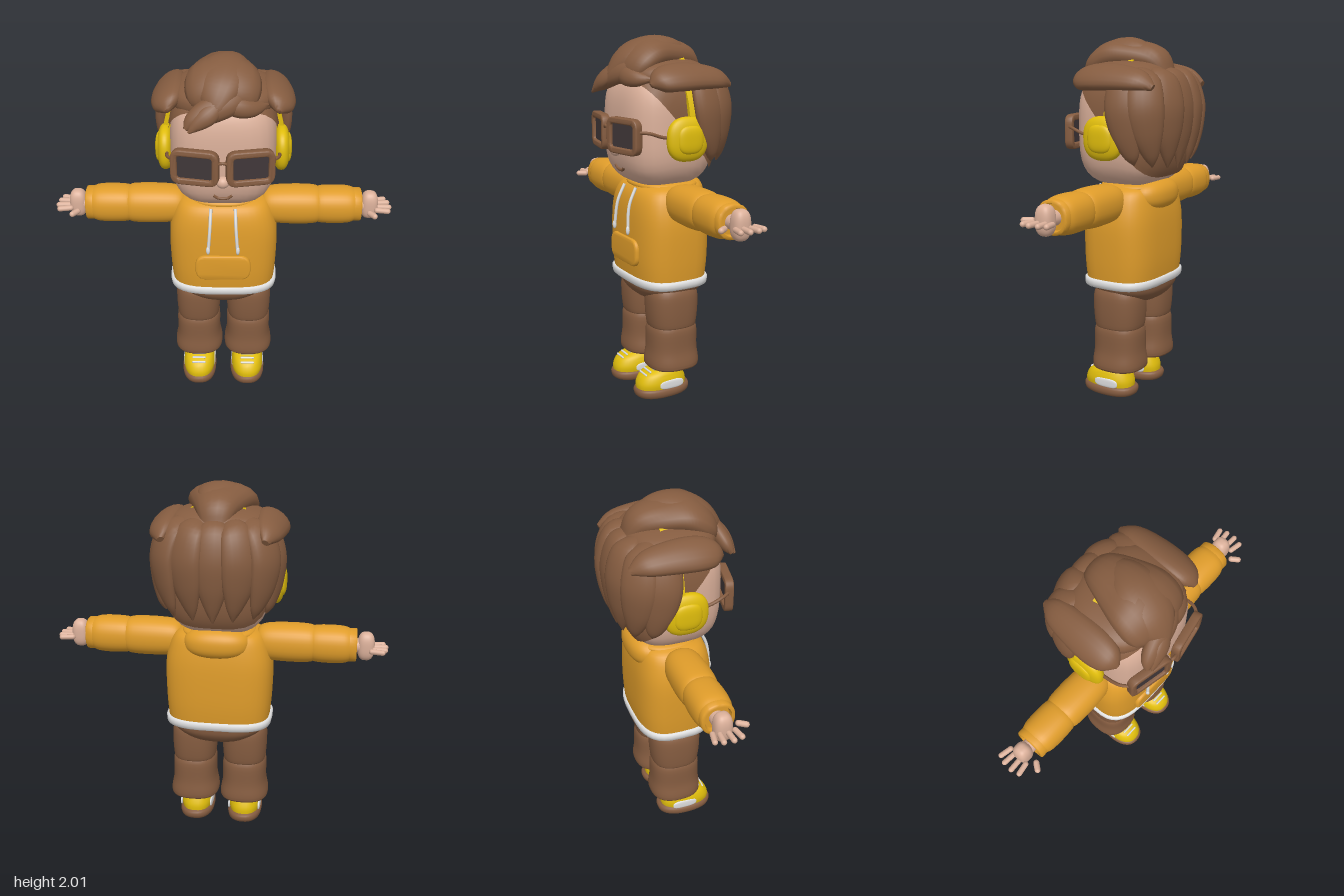
import * as THREE from 'three';
import { mergeVertices, toCreasedNormals } from 'three/addons/utils/BufferGeometryUtils.js';

const V = (x, y, z) => new THREE.Vector3(x, y, z);
const mat = (name, color) => Object.assign(new THREE.MeshStandardMaterial({ color }), { name });

// Rounded-box-like ellipsoid: a sphere pushed out by a p-norm; cap < 1 keeps only part, tilted back
function blob(rx, ry, rz, p = 2, cap = 1, tilt = 0) {
  let g = new THREE.SphereGeometry(1, 40, 28, 0, Math.PI * 2, 0, Math.PI * cap).rotateX(tilt);
  const a = g.attributes.position;
  for (let i = 0; i < a.count; i++) {
    const v = V().fromBufferAttribute(a, i);
    const n = (Math.abs(v.x) ** p + Math.abs(v.y) ** p + Math.abs(v.z) ** p) ** (1 / p);
    a.setXYZ(i, v.x / n * rx, v.y / n * ry, v.z / n * rz);
  }
  g.deleteAttribute('uv');
  g.deleteAttribute('normal');
  g = mergeVertices(g, 1e-5);
  g.computeVertexNormals();
  return g;
}

// Smooth interpolation through rows of numbers
function smooth(rows, sub) {
  const out = [];
  const at = i => rows[Math.max(0, Math.min(rows.length - 1, i))];
  for (let i = 0; i < rows.length - 1; i++) {
    for (let k = 0; k < sub; k++) {
      const t = k / sub;
      out.push(at(i).map((b, c) => {
        const a = at(i - 1)[c], d = at(i + 1)[c], e = at(i + 2)[c];
        return b + 0.5 * t * (d - a + t * (2 * a - 5 * b + 4 * d - e + t * (3 * (b - d) + e - a)));
      }));
    }
  }
  out.push(rows[rows.length - 1]);
  return out;
}

// Skin a list of closed rings, closing both ends
function skin(rings) {
  const n = rings[0].length, pos = [], idx = [];
  rings.forEach(r => r.forEach(v => pos.push(v.x, v.y, v.z)));
  const centre = r => r.reduce((s, v) => s.add(v), V(0, 0, 0)).divideScalar(n);
  const lo = rings.length * n, hi = lo + 1, top = lo - n;
  for (const r of [rings[0], rings[rings.length - 1]]) pos.push(...centre(r).toArray());
  for (let j = 0; j < n; j++) {
    const k = (j + 1) % n;
    for (let i = 0; i < rings.length - 1; i++) {
      const a = i * n + j, b = i * n + k;
      idx.push(a, a + n, b, b, a + n, b + n);
    }
    idx.push(lo, j, k, hi, top + k, top + j);
  }
  const g = new THREE.BufferGeometry();
  g.setAttribute('position', new THREE.Float32BufferAttribute(pos, 3));
  g.setIndex(idx);
  return toCreasedNormals(g, 0.9);
}

// Stacked superellipse sections: [y, rx, rz, cz]
function loft(rows, p = 2, sub = 4, seg = 36) {
  const sg = (c) => Math.sign(c) * Math.abs(c) ** (2 / p);
  return skin(smooth(rows.map(r => [r[0], r[1], r[2] ?? r[1], r[3] ?? 0]), sub).map(([y, rx, rz, cz]) =>
    Array.from({ length: seg }, (_, j) => {
      const t = j / seg * Math.PI * 2;
      return V(rx * sg(Math.cos(t)), y, cz + rz * sg(Math.sin(t)));
    })));
}

// Hair lock along a path: rows [x, y, z, halfWidth, halfThickness], flat side facing "out"
function lock(rows, out, seg = 18) {
  const s = smooth(rows, 6);
  const P = s.map(r => V(r[0], r[1], r[2]));
  return skin(s.map((r, i) => {
    const T = P[Math.min(i + 1, P.length - 1)].clone().sub(P[Math.max(i - 1, 0)]).normalize();
    const S = T.clone().cross(out).normalize(), N = S.clone().cross(T);
    return Array.from({ length: seg }, (_, j) => {
      const t = j / seg * Math.PI * 2;
      return P[i].clone().addScaledVector(S, r[3] * Math.cos(t)).addScaledVector(N, r[4] * Math.sin(t));
    });
  }));
}

function roundRect(w, h, r, Type = THREE.Shape) {
  const x = w / 2, y = h / 2;
  return new Type().moveTo(-x + r, -y).lineTo(x - r, -y).quadraticCurveTo(x, -y, x, -y + r)
    .lineTo(x, y - r).quadraticCurveTo(x, y, x - r, y).lineTo(-x + r, y)
    .quadraticCurveTo(-x, y, -x, y - r).lineTo(-x, -y + r).quadraticCurveTo(-x, -y, -x + r, -y);
}
const plate = (shape, depth, bevel) => toCreasedNormals(new THREE.ExtrudeGeometry(shape, {
  depth, bevelEnabled: bevel > 0, bevelSize: bevel, bevelThickness: bevel, bevelSegments: 4, curveSegments: 8 }), 0.7);
const tube = (pts, r) => new THREE.TubeGeometry(new THREE.CatmullRomCurve3(pts.map(p => V(...p))), 20, r, 8);

export function createModel() {
  const root = new THREE.Group();
  const skinTone = mat('skin', 0xdbb09a), brown = mat('brown', 0x855c40), amber = mat('amber', 0xdf9c2a);
  const yellow = mat('yellow', 0xe0bd0c), white = mat('white', 0xdedede), dark = mat('lens', 0x403739);
  const add = (name, g, m, x = 0, y = 0, z = 0, parent = root) => {
    const o = new THREE.Mesh(g, m);
    o.name = name;
    o.position.set(x, y, z);
    parent.add(o);
    return o;
  };

  // Head and face
  add('head', blob(0.28, 0.32, 0.255, 3.4), skinTone, 0, 1.52, 0.015);
  add('nose', blob(0.035, 0.032, 0.032), skinTone, 0, 1.4, 0.275);
  add('mouth', tube([[-0.05, 1.31, 0.25], [-0.025, 1.292, 0.247], [0.025, 1.292, 0.247], [0.05, 1.31, 0.25]], 0.008), brown);

  // Hair: scalp, crown, back volume
  add('scalp', blob(0.288, 0.328, 0.266, 3.4, 0.5, -0.75), brown, 0, 1.52, 0.012);
  add('crownHair', blob(0.28, 0.1, 0.24, 2.5), brown, 0, 1.79, 0.01);
  add('backHair', blob(0.29, 0.22, 0.19, 2.6), brown, 0, 1.62, -0.12);
  // Locks fanned around the back of the head
  for (let i = -3; i <= 3; i++) {
    const at = (deg, k, y) => {
      const a = deg * Math.PI / 180, s = Math.sin(a), c = Math.cos(a);
      const n = (Math.abs(s) ** 3 + c ** 3) ** (1 / 3);
      return [k * 0.325 * s / n, y, -k * 0.25 * c / n - 0.05];
    };
    const a = i * 25, tip = 1.31 + 0.012 * Math.abs(i);
    add('backLock', lock([
      [...at(a, 0.45, 1.83), 0.04, 0.02], [...at(a, 0.8, 1.79), 0.085, 0.04], [...at(a, 0.97, 1.66), 0.1, 0.045],
      [...at(a * 0.95, 0.97, 1.52), 0.085, 0.04], [...at(a * 0.87, 0.92, 1.4), 0.045, 0.025],
      [...at(a * 0.83, 0.87, tip), 0.004, 0.004]], V(Math.sin(a * Math.PI / 180), 0.15, -Math.cos(a * Math.PI / 180))), brown);
  }
  // Swept-up top and fringe
  add('quiff', lock([[0, 1.82, -0.2, 0.07, 0.03], [0, 1.88, -0.13, 0.11, 0.075], [0, 1.905, 0, 0.16, 0.085],
    [0, 1.9, 0.1, 0.19, 0.095], [0, 1.85, 0.18, 0.19, 0.085], [0, 1.79, 0.22, 0.15, 0.05], [0, 1.76, 0.23, 0.04, 0.01]], V(0, 1, 0.35)), brown);
  add('quiffRidge', lock([[0.02, 1.88, -0.16, 0.03, 0.03], [0.03, 1.93, -0.04, 0.09, 0.06], [0.01, 1.94, 0.08, 0.13, 0.062],
    [-0.02, 1.89, 0.19, 0.12, 0.06], [-0.05, 1.81, 0.26, 0.07, 0.04], [-0.08, 1.77, 0.27, 0.01, 0.01]], V(0, 1, 0.35)), brown);
  add('fringe', lock([[0.12, 1.86, 0.19, 0.04, 0.03], [0.03, 1.83, 0.24, 0.07, 0.045], [-0.08, 1.785, 0.27, 0.065, 0.045],
    [-0.15, 1.745, 0.29, 0.045, 0.035], [-0.185, 1.71, 0.31, 0.012, 0.012]], V(0, 0.5, 1)), brown);
  add('fringeTip', lock([[0.02, 1.85, 0.24, 0.02, 0.02], [-0.06, 1.79, 0.29, 0.05, 0.032], [-0.12, 1.745, 0.31, 0.04, 0.028],
    [-0.17, 1.7, 0.33, 0.006, 0.006]], V(0, 0.5, 1)), brown);
  add('fringeRight', lock([[-0.04, 1.85, 0.21, 0.03, 0.03], [0.06, 1.81, 0.24, 0.055, 0.04], [0.15, 1.79, 0.22, 0.045, 0.035],
    [0.23, 1.79, 0.16, 0.01, 0.01]], V(0, 0.5, 1)), brown);

  // Headphone band
  const band = new THREE.Shape().absellipse(0, 0, 0.33, 0.425, 0, Math.PI, false);
  band.lineTo(-0.308, 0).absellipse(0, 0, 0.308, 0.403, Math.PI, 0, true);
  add('headband', plate(band, 0.07, 0), yellow, 0, 1.5, -0.07);

  // Glasses bridge
  add('bridge', tube([[-0.03, 1.525, 0.325], [0, 1.537, 0.332], [0.03, 1.525, 0.325]], 0.009), brown);

  // Hoodie body
  add('hoodieBody', loft([[0.66, 0.285, 0.2, 0.01], [0.8, 0.297, 0.213, 0.01], [1.0, 0.3, 0.213, 0.01], [1.12, 0.278, 0.2, 0.01],
    [1.185, 0.245, 0.175, 0.005], [1.21, 0.2, 0.13, 0]], 3.2), amber);
  add('collar', blob(0.205, 0.035, 0.18, 2.5), amber, 0, 1.2, -0.01);
  add('hood', blob(0.185, 0.09, 0.115, 2.4), amber, 0, 1.155, -0.11);
  add('hem', loft([[0.648, 0.285, 0.2, 0.01], [0.656, 0.3, 0.213, 0.01], [0.69, 0.303, 0.216, 0.01], [0.698, 0.29, 0.205, 0.01]], 3.2, 2), white);
  add('pocket', plate(roundRect(0.28, 0.13, 0.05), 0.012, 0.012), amber, 0, 0.84, 0.215);
  add('hips', loft([[0.535, 0.06, 0.08], [0.565, 0.17, 0.15], [0.61, 0.245, 0.188], [0.65, 0.27, 0.198], [0.68, 0.272, 0.198]], 2.6), brown);

  // Paired parts
  for (const s of [1, -1]) {
    const side = s > 0 ? 'left' : 'right';
    const group = (name, x = 0, y = 0, z = 0) => {
      const g = new THREE.Group();
      g.name = side + name;
      g.position.set(x, y, z);
      root.add(g);
      return g;
    };

    // Side hair
    add(side + 'Tuft', lock([[s * 0.27, 1.75, -0.27, 0.02, 0.015], [s * 0.28, 1.785, -0.19, 0.07, 0.04], [s * 0.285, 1.8, -0.06, 0.092, 0.05],
      [s * 0.287, 1.8, 0.07, 0.097, 0.052], [s * 0.285, 1.785, 0.16, 0.075, 0.045], [s * 0.28, 1.765, 0.21, 0.015, 0.012]], V(s * 0.55, 0.83, 0)), brown);

    // Headphone cup
    const phones = group('EarCup', s * 0.31, 1.48, 0.01);
    add('cup', blob(0.045, 0.118, 0.12, 2.5), yellow, 0, 0, 0, phones);
    add('cupPad', blob(0.026, 0.075, 0.075, 2.8), yellow, s * 0.03, 0, 0, phones);

    // Glasses
    const glass = group('Lens', s * 0.14, 1.495, 0.285);
    glass.rotation.y = s * 0.2;
    const rim = roundRect(0.236, 0.176, 0.045);
    rim.holes.push(roundRect(0.2, 0.14, 0.025, THREE.Path));
    add('frame', plate(rim, 0.03, 0.008), brown, 0, 0, -0.005, glass);
    add('lens', plate(roundRect(0.21, 0.15, 0.03), 0.008, 0), dark, 0, 0, 0.008, glass);
    add(side + 'Temple', tube([[s * 0.25, 1.525, 0.275], [s * 0.285, 1.52, 0.22], [s * 0.295, 1.495, 0.14], [s * 0.3, 1.49, 0.04]], 0.009), brown);

    // Drawstring
    add(side + 'Drawstring', tube([[s * 0.066, 1.195, 0.19], [s * 0.07, 1.1, 0.232], [s * 0.08, 0.96, 0.248]], 0.009), white);
    add(side + 'DrawstringEnd', blob(0.011, 0.025, 0.011), white, s * 0.081, 0.965, 0.248);

    // Sleeve
    const arm = group('Arm', 0, 1.132, 0.012);
    const sleeve = (name, rows, sub) => add(name, loft(rows, 2.3, sub).rotateZ(-s * Math.PI / 2), amber, 0, 0, 0, arm);
    sleeve('upperSleeve', [[0.2, 0.05], [0.225, 0.085], [0.28, 0.102], [0.4, 0.108], [0.5, 0.104], [0.535, 0.09]], 4);
    sleeve('lowerSleeve', [[0.5, 0.085], [0.535, 0.1], [0.62, 0.104], [0.69, 0.1], [0.725, 0.088]], 4);
    sleeve('cuff', [[0.715, 0.08], [0.72, 0.09], [0.755, 0.09], [0.76, 0.086], [0.76, 0.072], [0.735, 0.066]], 1);

    // Hand
    const hand = group('Hand', s * 0.81, 1.13, 0.01);
    add('wrist', new THREE.CylinderGeometry(0.04, 0.04, 0.08, 20).rotateZ(Math.PI / 2), skinTone, -s * 0.05, 0, 0, hand);
    add('palm', blob(0.047, 0.08, 0.048, 2.7), skinTone, 0, 0, 0, hand);
    [[0.06, -0.07, 0.2], [0.074, -0.033, 0.08], [0.078, 0.015, -0.06], [0.066, 0.058, -0.18]].forEach(([x, z, turn]) => {
      const finger = add('finger', new THREE.CapsuleGeometry(0.015, 0.06, 6, 12).rotateZ(Math.PI / 2), skinTone, s * x, -0.01, z, hand);
      finger.rotation.y = s * turn;
    });
    add('thumb', new THREE.CapsuleGeometry(0.016, 0.04, 6, 12).rotateZ(Math.PI / 2), skinTone, s * 0.005, -0.01, 0.105, hand).rotation.y = -s * 0.95;

    // Trouser leg
    const leg = group('Leg', s * 0.147, 0, 0.012);
    add('upperLeg', loft([[0.4, 0.11, 0.12], [0.42, 0.122, 0.135], [0.52, 0.128, 0.145], [0.61, 0.122, 0.14], [0.66, 0.09, 0.1]], 2.5), brown, 0, 0, 0, leg);
    add('lowerLeg', loft([[0.165, 0.125, 0.133], [0.175, 0.139, 0.147], [0.21, 0.139, 0.149], [0.28, 0.127, 0.141], [0.39, 0.126, 0.139],
      [0.43, 0.11, 0.12]], 2.5), brown, 0, 0, 0, leg);

    // Shoe
    const shoe = group('Shoe', s * 0.145, 0, 0);
    add('sole', loft([[0, 0.085, 0.14, 0.075], [0.012, 0.098, 0.16, 0.075], [0.04, 0.101, 0.166, 0.075], [0.054, 0.092, 0.158, 0.075]], 2.4, 2), brown, 0, 0, 0, shoe);
    add('shoeUpper', loft([[0.045, 0.088, 0.148, 0.08], [0.085, 0.094, 0.147, 0.08], [0.13, 0.085, 0.125, 0.075], [0.155, 0.07, 0.09, 0.055],
      [0.18, 0.055, 0.055, 0.015]], 2.4), yellow, 0, 0, 0, shoe);
    for (const k of [1, -1]) add('sidePanel', blob(0.008, 0.026, 0.075, 3), white, k * 0.089, 0.078, 0.055, shoe);
    [[0.162, 0.138], [0.149, 0.163], [0.135, 0.19]].forEach(([y, z]) =>
      add('lace', new THREE.CapsuleGeometry(0.006, 0.07, 4, 8).rotateZ(Math.PI / 2), white, 0, y, z, shoe));
  }
  return root;
}
